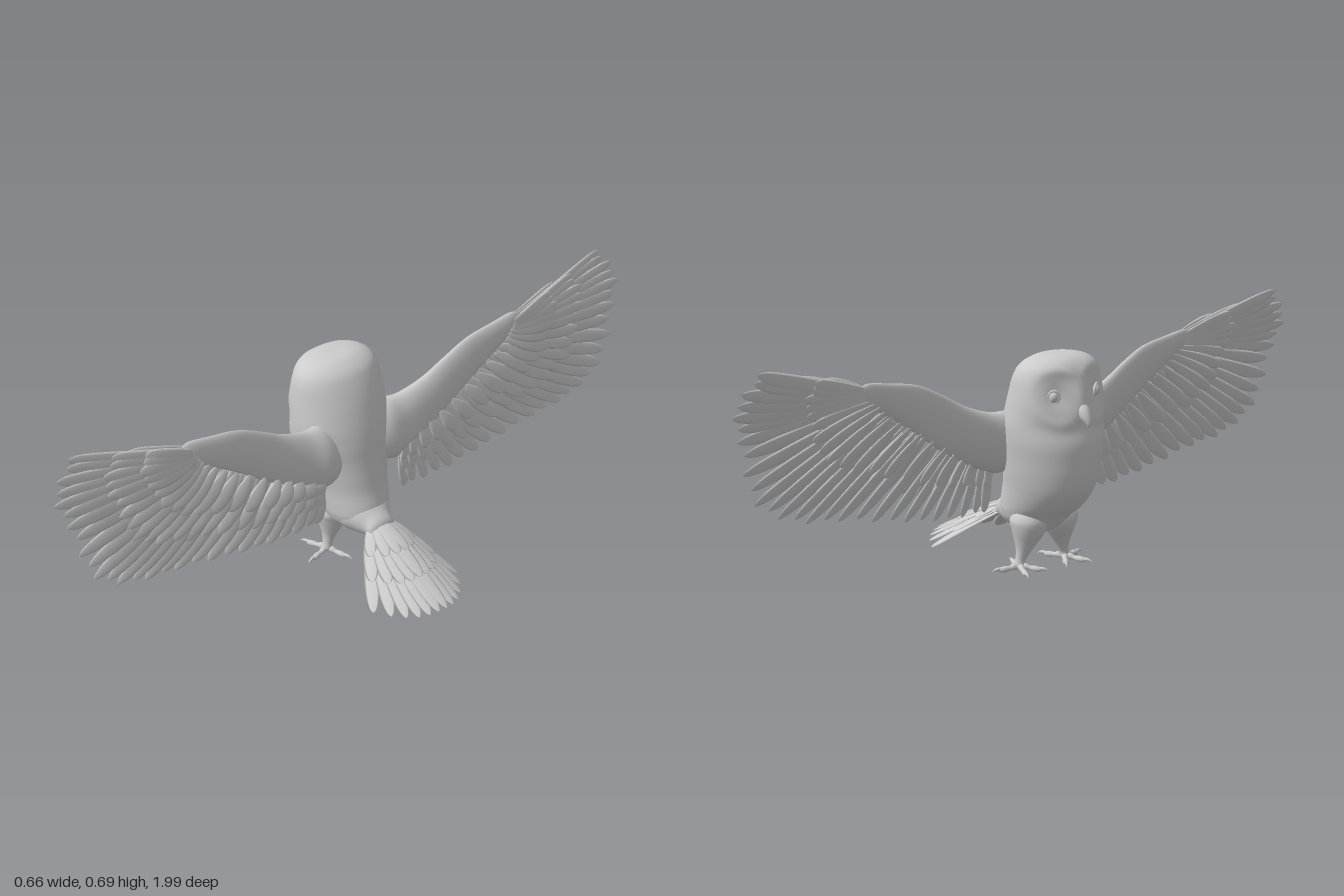
import * as THREE from 'three';
import { mergeGeometries } from 'three/addons/utils/BufferGeometryUtils.js';

const V = (x, y, z) => new THREE.Vector3(x, y, z);
const material = new THREE.MeshStandardMaterial({ color: 0xcccccc, roughness: 0.8 });

// Smooth interpolation through rows of numbers, t from 0 to 1
function spline(rows, t) {
  const f = t * (rows.length - 1), i = Math.min(Math.floor(f), rows.length - 2), k = f - i;
  const at = (j) => rows[THREE.MathUtils.clamp(j, 0, rows.length - 1)];
  const [a, b, c, d] = [at(i - 1), at(i), at(i + 1), at(i + 2)];
  return b.map((p, n) => p + 0.5 * k * (c[n] - a[n]
    + k * (2 * a[n] - 5 * p + 4 * c[n] - d[n] + k * (3 * (p - c[n]) + d[n] - a[n]))));
}

// Skin over elliptical sections: each row is centre, axis u, axis v (u x v points along the skin)
function loft(rows, rings, sides) {
  const pos = [], index = [];
  for (let i = 0; i <= rings; i++) {
    const r = spline(rows, i / rings);
    for (let j = 0; j < sides; j++) {
      const a = (j / sides) * Math.PI * 2, c = Math.cos(a), s = Math.sin(a);
      pos.push(r[0] + r[3] * c + r[6] * s, r[1] + r[4] * c + r[7] * s, r[2] + r[5] * c + r[8] * s);
      if (i === rings) continue;
      const p = i * sides + j, q = i * sides + ((j + 1) % sides);
      index.push(p, q, p + sides, q, q + sides, p + sides);
    }
  }
  const g = new THREE.BufferGeometry();
  g.setAttribute('position', new THREE.Float32BufferAttribute(pos, 3));
  g.setIndex(index);
  g.computeVertexNormals();
  return g;
}

// Round tapering limb through points [x, y, z, radius]
function limb(points, rings = 12, sides = 10) {
  const rows = points.map((p, i) => {
    const a = points[Math.max(i - 1, 0)], b = points[Math.min(i + 1, points.length - 1)];
    const d = V(b[0] - a[0], b[1] - a[1], b[2] - a[2]).normalize();
    const u = V(-0.05, 0.1, 1).cross(d).normalize();
    const v = d.clone().cross(u);
    return [p[0], p[1], p[2], ...u.multiplyScalar(p[3]).toArray(), ...v.multiplyScalar(p[3]).toArray()];
  });
  return loft(rows, rings, sides);
}

// Flat, round-ended feather with a slight sideways bend
const outline = [[0, 0], [0.03, 0.35], [0.2, 0.65], [0.45, 0.95], [0.7, 1], [0.88, 0.8], [0.97, 0.42], [1, 0]];
function feather(base, tip, width, facing, bend = 0, thick = 0.0035) {
  const d = tip.clone().sub(base), u = facing.clone().cross(d).normalize();
  const v = d.clone().cross(u).normalize();
  return loft(outline.map(([t, w]) => {
    const c = base.clone().addScaledVector(d, t).addScaledVector(u, bend * Math.sin(t * Math.PI))
      .addScaledVector(v, thick * Math.sin(t * Math.PI));
    return [...c.toArray(), ...u.clone().multiplyScalar(w * width).toArray(),
      ...v.clone().multiplyScalar(w * thick).toArray()];
  }), 14, 8);
}

function mirrored(geometry) {
  const g = geometry.clone().scale(1, 1, -1), ix = g.index.array;
  for (let i = 0; i < ix.length; i += 3) [ix[i], ix[i + 1]] = [ix[i + 1], ix[i]];
  g.computeVertexNormals();
  return g;
}

export function createModel() {
  const owl = new THREE.Group();
  owl.name = 'owl';
  const add = (name, geometry) => {
    const m = new THREE.Mesh(geometry, material);
    m.name = name;
    owl.add(m);
  };
  const pair = (name, geometry) => {
    add('left' + name, geometry);
    add('right' + name, mirrored(geometry));
  };

  // Body and head: height, front x, back x, half width
  const profile = [
    [0.105, -0.1, -0.1, 0], [0.112, -0.15, -0.05, 0.05], [0.14, -0.185, 0, 0.085], [0.17, -0.215, 0.015, 0.1],
    [0.2, -0.255, 0.012, 0.108], [0.25, -0.294, -0.003, 0.118], [0.3, -0.309, -0.012, 0.128],
    [0.35, -0.314, -0.02, 0.136], [0.4, -0.314, -0.026, 0.144], [0.45, -0.302, -0.036, 0.147],
    [0.5, -0.303, -0.05, 0.144], [0.54, -0.298, -0.064, 0.14], [0.58, -0.282, -0.082, 0.134],
    [0.61, -0.27, -0.1, 0.12], [0.63, -0.252, -0.125, 0.092], [0.64, -0.225, -0.15, 0.05], [0.642, -0.19, -0.19, 0],
  ];
  const body = loft(profile.map(([y, f, b, w]) => [(f + b) / 2, y, 0, 0, 0, w, (b - f) / 2, 0, 0]), 80, 64);
  // Hollow the facial disc around each eye and raise its rim
  const p = body.attributes.position;
  for (let i = 0; i < p.count; i++) {
    if (p.getX(i) > -0.18) continue;
    const r = Math.hypot((p.getY(i) - 0.537) / 1.15, Math.abs(p.getZ(i)) - 0.066);
    const dent = 0.019 * Math.exp(-((r / 0.038) ** 2)) - 0.005 * Math.exp(-(((r - 0.068) / 0.014) ** 2));
    p.setX(i, p.getX(i) + dent);
  }
  body.computeVertexNormals();
  add('body', body);

  // Eyes with lids
  const place = (g) => g.rotateZ(0.12).rotateY(0.6).translate(-0.264, 0.537, 0.076);
  pair('Eye', place(new THREE.SphereGeometry(0.016, 20, 14).scale(0.7, 1, 0.85)));
  pair('Eyelid', place(new THREE.TorusGeometry(0.017, 0.004, 8, 24).rotateY(Math.PI / 2).scale(1, 1.1, 0.9)));

  // Hooked beak
  add('beak', limb([[-0.28, 0.515, 0, 0.012], [-0.297, 0.497, 0, 0.019], [-0.311, 0.481, 0, 0.017],
    [-0.321, 0.468, 0, 0.011], [-0.325, 0.458, 0, 0.006], [-0.323, 0.448, 0, 0]], 20, 14));

  // Rump: x, y, half height, half width
  add('rump', loft([[-0.14, 0.18, 0.03, 0.05], [-0.1, 0.172, 0.06, 0.085], [-0.05, 0.17, 0.066, 0.088],
    [-0.01, 0.164, 0.058, 0.068], [0.02, 0.153, 0.043, 0.05], [0.045, 0.146, 0.027, 0.04], [0.055, 0.144, 0, 0]]
    .map(([x, y, h, w]) => [x, y, 0, 0, h, 0, 0, 0, w]), 30, 28));

  // Legs, toes and claws
  pair('Leg', limb([[-0.125, 0.19, 0.05, 0.04], [-0.13, 0.15, 0.054, 0.056], [-0.13, 0.12, 0.06, 0.048],
    [-0.127, 0.09, 0.066, 0.034], [-0.125, 0.06, 0.073, 0.021], [-0.122, 0.035, 0.08, 0.015],
    [-0.122, 0.016, 0.083, 0.016], [-0.122, 0.005, 0.083, 0]], 28, 20));
  const toes = [], claws = [];
  for (const [dx, dz] of [[-0.06, 0.025], [-0.05, -0.035], [0.015, 0.058], [0.06, -0.022]]) {
    const at = (t, y, r) => [-0.122 + dx * t, y, 0.083 + dz * t, r];
    toes.push(limb([at(0, 0.017, 0.009), at(0.3, 0.017, 0.01), at(0.5, 0.014, 0.007), at(0.75, 0.013, 0.009),
      at(1, 0.012, 0.007), at(1.08, 0.012, 0)]));
    claws.push(limb([at(0.95, 0.014, 0.005), at(1.15, 0.015, 0.005), at(1.3, 0.013, 0.003), at(1.45, 0.008, 0)]));
  }
  pair('Toes', mergeGeometries(toes));
  pair('Claws', mergeGeometries(claws));

  // Wing arm: z, x, lower y, upper y, half thickness
  pair('WingArm', loft([[0.05, -0.09, 0.33, 0.44, 0.03], [0.11, -0.088, 0.29, 0.475, 0.045],
    [0.17, -0.086, 0.3, 0.478, 0.036], [0.25, -0.083, 0.34, 0.505, 0.026], [0.33, -0.08, 0.39, 0.55, 0.02],
    [0.41, -0.078, 0.45, 0.588, 0.017], [0.5, -0.077, 0.51, 0.605, 0.014], [0.57, -0.078, 0.55, 0.615, 0.011],
    [0.6, -0.079, 0.585, 0.602, 0]]
    .map(([z, x, lo, hi, h]) => [x, (lo + hi) / 2, z, h, 0, 0, -h * 0.4, (hi - lo) / 2, 0]), 40, 24));

  // Flight feathers fan from the arm [z, y] to the wing outline [z, y, x]
  const roots = [[0.57, 0.595], [0.565, 0.58], [0.55, 0.565], [0.53, 0.54], [0.48, 0.5], [0.4, 0.45],
    [0.3, 0.39], [0.22, 0.36], [0.16, 0.34]];
  const tips = [[0.93, 0.692, -0.104], [0.995, 0.605, -0.085], [0.965, 0.49, -0.06], [0.92, 0.335, -0.045],
    [0.8, 0.26, -0.045], [0.64, 0.235, -0.05], [0.46, 0.2, -0.054], [0.3, 0.177, -0.056], [0.16, 0.175, -0.058]];
  const facing = V(1, 0.18, 0.25);
  const layer = (count, reach, width, shift) => {
    const list = [];
    for (let i = 0; i < count; i++) {
      const t = i / (count - 1), [rz, ry] = spline(roots, t), [tz, ty, tx] = spline(tips, t);
      const base = V(-0.076, ry, rz), tip = base.clone().lerp(V(tx, ty, tz), reach * (i % 2 ? 0.97 : 1));
      list.push(feather(base.setX(base.x + shift), tip.setX(tip.x + shift), width, facing, 0.008 * reach));
    }
    return mergeGeometries(list);
  };
  pair('FlightFeathers', layer(27, 1, 0.022, 0));
  pair('UpperCoverts', layer(22, 0.66, 0.021, 0.009));
  pair('ShoulderCoverts', layer(18, 0.4, 0.023, 0.016));
  pair('UnderCoverts', layer(20, 0.5, 0.02, -0.008));

  // Tail: arched fan of long feathers with shorter coverts above
  const fan = (count, reach, lift, width) => {
    const list = [];
    for (let i = 0; i < count; i++) {
      const s = (i / (count - 1)) * 2 - 1, a = Math.abs(s);
      const base = V(0.02, 0.158 + lift - 0.014 * a * a, 0.03 * s);
      const tip = V(0.33 - 0.125 * a ** 2.4, 0.027 - 0.018 * a, 0.155 * s);
      tip.y += lift * 2;
      list.push(feather(base, base.clone().lerp(tip, reach), width, V(0.35, 1, 0.6 * s), 0, 0.003));
    }
    return mergeGeometries(list);
  };
  add('tailFeathers', fan(12, 1, 0, 0.022));
  add('tailCoverts', fan(9, 0.68, 0.008, 0.022));
  add('upperTailCoverts', fan(6, 0.4, 0.013, 0.018));
  return owl;
}
